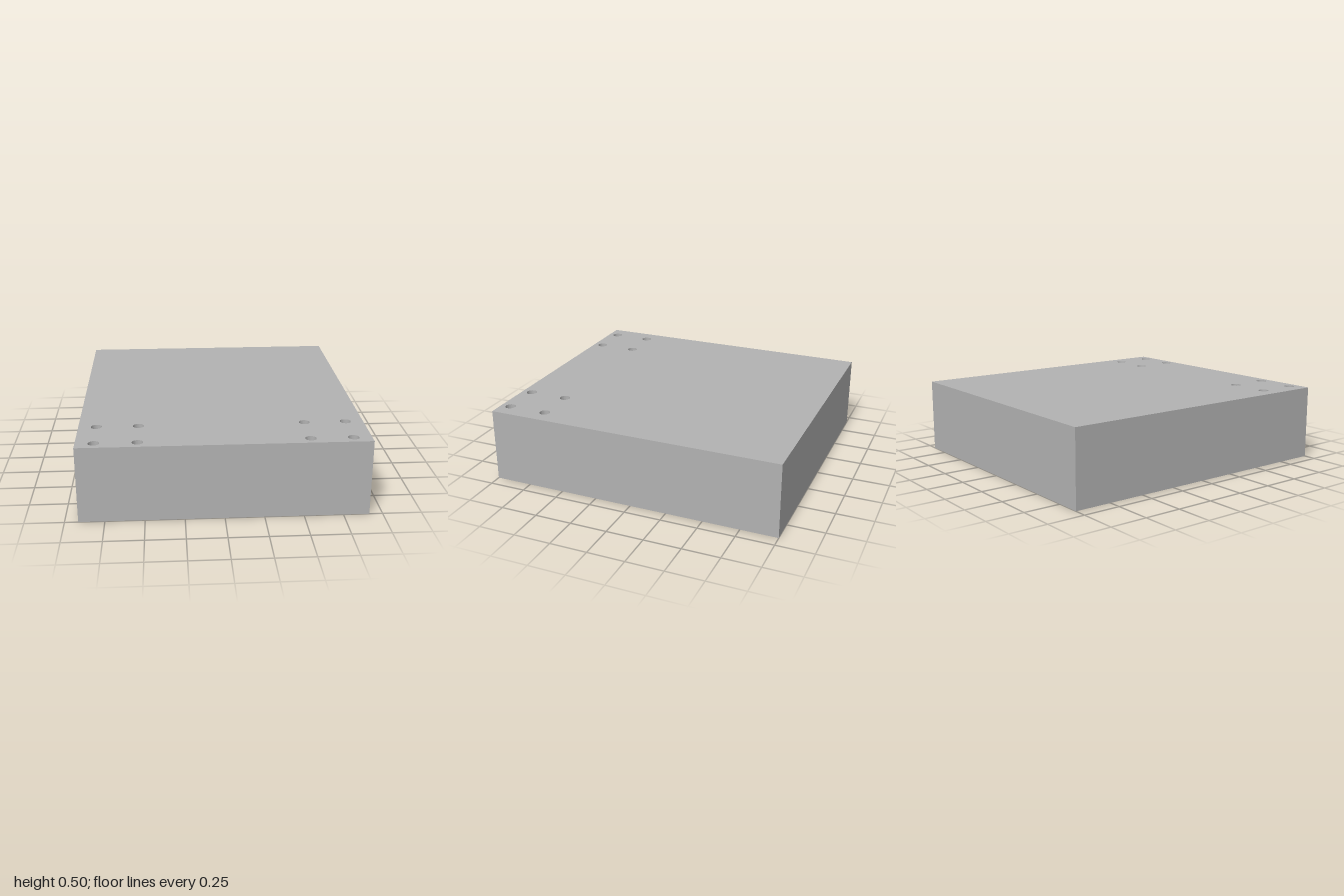
import * as THREE from 'three';
import { toCreasedNormals } from 'three/addons/utils/BufferGeometryUtils.js';

const W = 0.915, D = 1, H = 0.5;          // half width, half depth, height
const WALL = 0.02, TOP = 0.033;           // wall and lid thickness
const HOLE = 0.035, BOSS = 0.08;          // screw hole and boss radii
const CROSS = 0.567;                      // z of the cross wall
const RIBS = [-0.667, -0.333, 0, 0.333, 0.667];
const HOLES = [-0.8, -0.533, 0.533, 0.8].flatMap(x => [0.667, 0.932].map(z => [x, z]));

// Rectangle in plan (x, z)
function rect(x0, x1, z0, z1, Type = THREE.Path) {
  return new Type([[x0, z0], [x1, z0], [x1, z1], [x0, z1]].map(p => new THREE.Vector2(...p)));
}

// Circle in plan, kept inside the outer walls
function circle(x, z, r, Type = THREE.Path) {
  const points = [];
  for (let i = 0; i < 40; i++) {
    const a = (i / 40) * Math.PI * 2;
    points.push(new THREE.Vector2(x + r * Math.cos(a), Math.min(z + r * Math.sin(a), D - WALL / 2)));
  }
  return new Type(points);
}

// Extrude a plan shape downward from yTop
function prism(shape, yTop, height) {
  const g = new THREE.ExtrudeGeometry(shape, { depth: height, bevelEnabled: false });
  g.rotateX(Math.PI / 2).translate(0, yTop, 0);
  return toCreasedNormals(g, 0.5);
}

export function createModel() {
  const group = new THREE.Group();
  const grey = new THREE.MeshStandardMaterial({ name: 'grey', color: 0xb2b2b2 });
  const add = (name, geometry) => {
    const mesh = new THREE.Mesh(geometry, grey);
    mesh.name = name;
    group.add(mesh);
  };

  // Lid with screw holes
  const lid = rect(-W, W, -D, D, THREE.Shape);
  HOLES.forEach(([x, z]) => lid.holes.push(circle(x, z, HOLE)));
  add('lid', prism(lid, H, TOP));

  // Outer walls, cross wall and ribs: one block with pockets open below
  const walls = rect(-W, W, -D, D, THREE.Shape);
  const t = WALL / 2;
  walls.holes.push(rect(-W + WALL, W - WALL, CROSS + t, D - WALL));
  const edges = [-W + t, ...RIBS, W - t];
  for (let i = 0; i < edges.length - 1; i++) {
    walls.holes.push(rect(edges[i] + t, edges[i + 1] - t, -D + WALL, CROSS - t));
  }
  add('wallsAndRibs', prism(walls, H - TOP, H - TOP));

  // Screw bosses
  HOLES.forEach(([x, z]) => {
    const boss = circle(x, z, BOSS, THREE.Shape);
    boss.holes.push(circle(x, z, HOLE));
    add('screwBoss', prism(boss, H - TOP, H - TOP));
  });

  return group;
}
